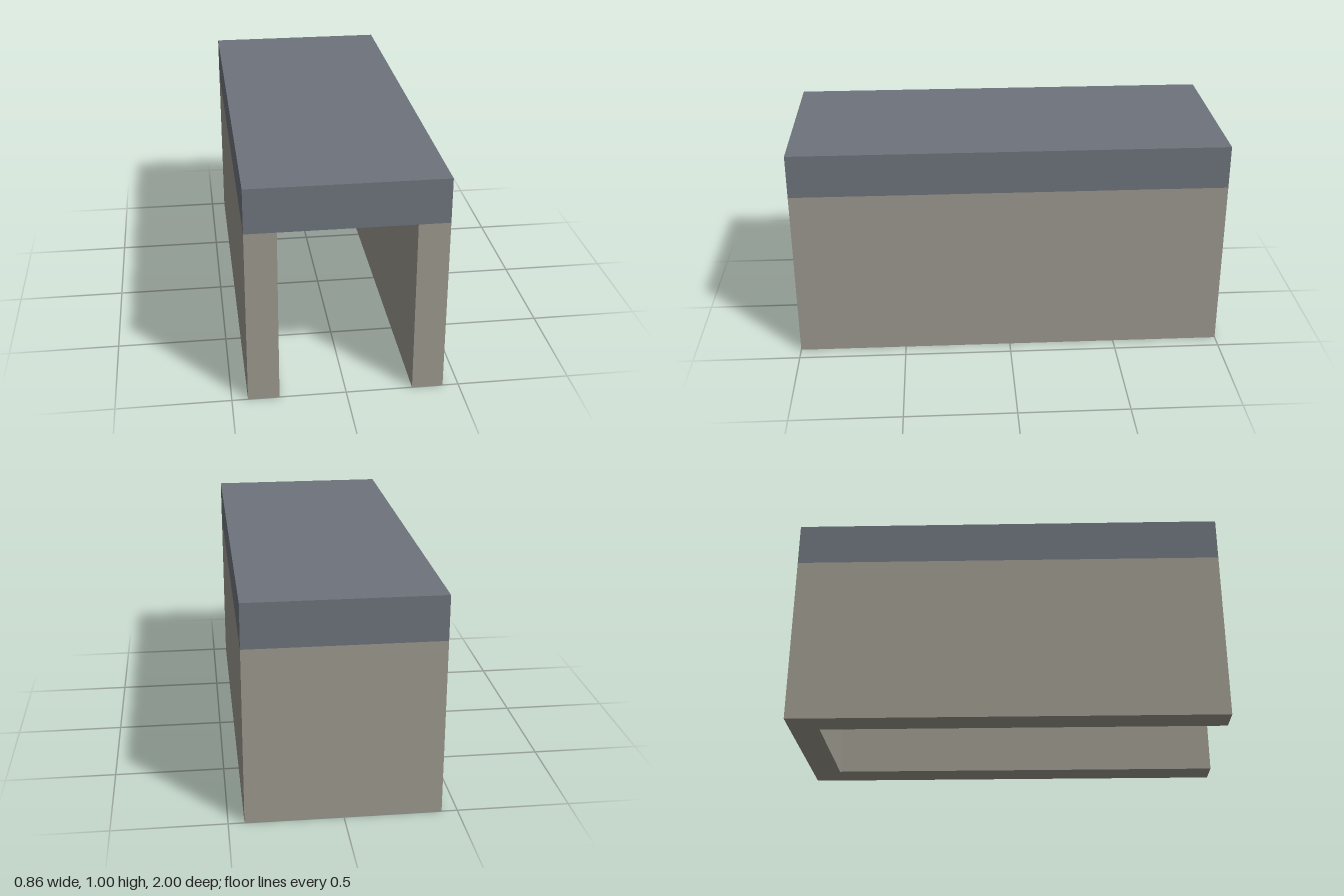
import * as THREE from 'three';

const WIDTH = 0.86, LENGTH = 2, WALL_HEIGHT = 0.8, ROOF_HEIGHT = 0.2, WALL = 0.137;

export function createModel() {
  const stone = new THREE.MeshStandardMaterial({ color: 0x9b988d });
  stone.name = 'warm grey wall';
  const slate = new THREE.MeshStandardMaterial({ color: 0x6e747c });
  slate.name = 'slate grey roof';

  const model = new THREE.Group();
  model.name = 'openShelter';

  const addBox = (name, material, size, position) => {
    const mesh = new THREE.Mesh(new THREE.BoxGeometry(...size), material);
    mesh.name = name;
    mesh.position.set(...position);
    model.add(mesh);
  };

  // Side walls, running from the back wall to the open front
  const sideLength = LENGTH - WALL;
  for (const [name, side] of [['leftWall', 1], ['rightWall', -1]]) {
    addBox(name, stone, [WALL, WALL_HEIGHT, sideLength],
      [side * (WIDTH - WALL) / 2, WALL_HEIGHT / 2, WALL / 2]);
  }

  // Back wall across the full width
  addBox('backWall', stone, [WIDTH, WALL_HEIGHT, WALL],
    [0, WALL_HEIGHT / 2, (WALL - LENGTH) / 2]);

  // Flat roof slab
  addBox('roof', slate, [WIDTH, ROOF_HEIGHT, LENGTH],
    [0, WALL_HEIGHT + ROOF_HEIGHT / 2, 0]);

  return model;
}
